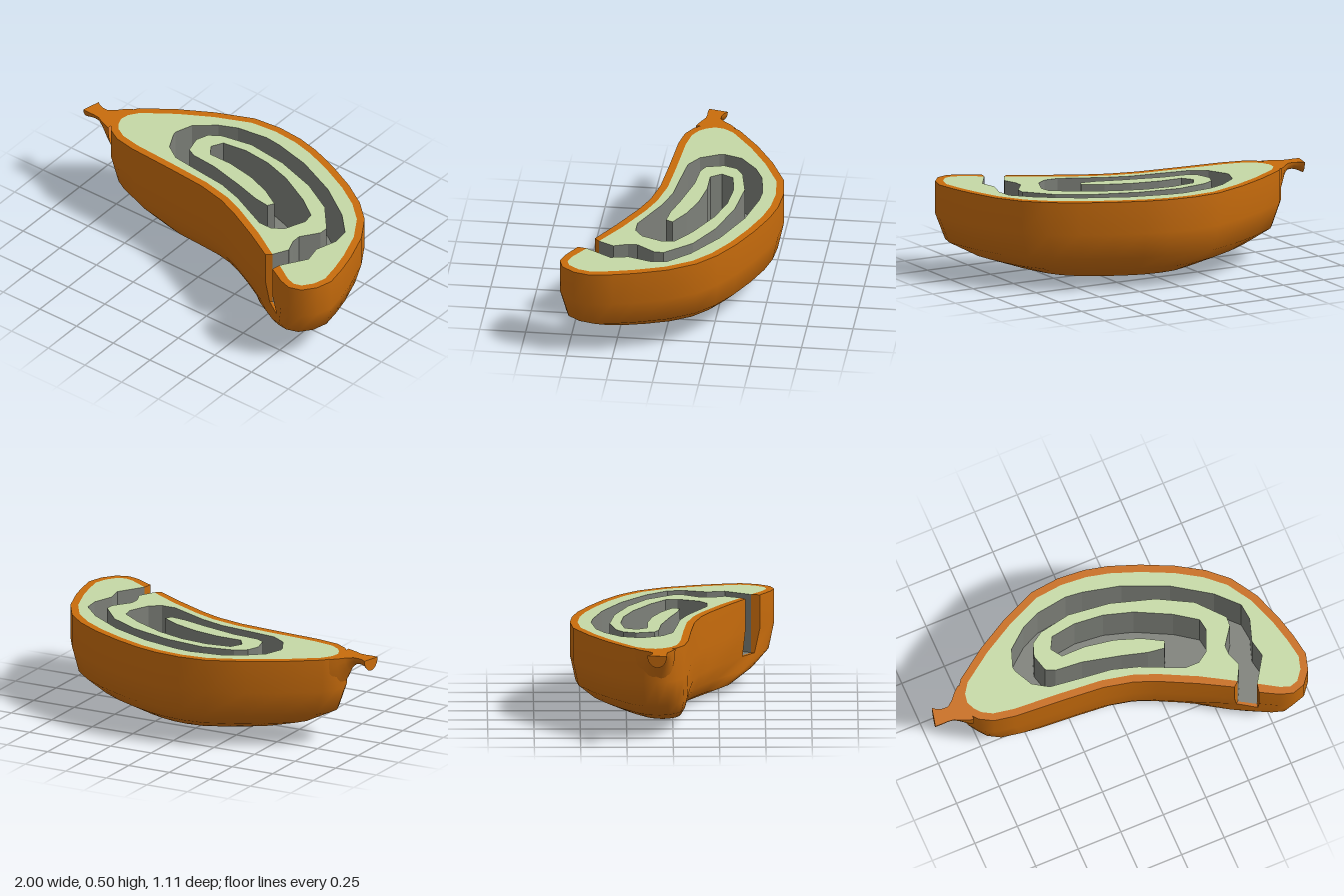
import * as THREE from 'three';

const TOP = 0.5, FLOOR = 0.18;
const material = (color, side = THREE.FrontSide) => new THREE.MeshStandardMaterial({ color, side });
const skin = material(0xc86c0c), skinThin = material(0xc86c0c, THREE.DoubleSide);
const flesh = material(0xc5d9a6), channelGrey = material(0x7d8079, THREE.DoubleSide);

// Slot cut through the skin at the channel outlet: [x, z]
const slotIn = [[0.6, 0.37], [0.69, 0.425]];
const slotOut = [[0.57, 0.395], [0.68, 0.475]];

// Rim outline from the slot's left edge, round the fruit, to its right edge
const outer = [
  slotOut[0], [0.4, 0.3], [0.2, 0.2], [0.08, 0.153], [-0.08, 0.118], [-0.3, 0.1], [-0.58, 0.082],
  [-0.7, 0.06], [-0.77, 0.02], [-0.81, -0.03], [-0.832, -0.09], [-0.82, -0.16], [-0.77, -0.23],
  [-0.6, -0.35], [-0.42, -0.452], [-0.22, -0.538], [-0.06, -0.555], [0.09, -0.543], [0.22, -0.512],
  [0.38, -0.452], [0.55, -0.372], [0.69, -0.285], [0.8, -0.185], [0.89, -0.04], [0.95, 0.13],
  [0.98, 0.25], [1, 0.37], [0.975, 0.46], [0.92, 0.53], [0.85, 0.552], [0.78, 0.53], slotOut[1],
];

// Spiral channel outline, from the outlet's right edge round to its left edge
const channel = [
  slotIn[1], [0.78, 0.285], [0.76, 0.19], [0.8, 0.067], [0.79, -0.025], [0.68, -0.14], [0.48, -0.275],
  [0.24, -0.38], [0.03, -0.43], [-0.065, -0.44], [-0.24, -0.415], [-0.34, -0.37], [-0.45, -0.28],
  [-0.485, -0.18], [-0.48, -0.155], [-0.43, -0.055], [-0.345, 0], [-0.18, 0.02], [0, 0.04], [0.14, 0.083],
  [0.37, 0.188], [0.45, 0.188], [0.51, 0.147], [0.56, 0.03], [0.55, -0.035], [0.43, -0.12], [0.24, -0.216],
  [0.08, -0.265], [-0.08, -0.28], [-0.22, -0.26], [-0.255, -0.195], [-0.215, -0.137], [-0.08, -0.137],
  [0.08, -0.11], [0.22, -0.06], [0.33, 0.003], [0.31, 0.04], [0.22, 0.028], [0.08, -0.012], [-0.13, -0.062],
  [-0.28, -0.075], [-0.33, -0.1], [-0.355, -0.195], [-0.33, -0.265], [-0.265, -0.307], [-0.09, -0.34],
  [0.14, -0.313], [0.38, -0.238], [0.565, -0.137], [0.69, 0.008], [0.687, 0.06], [0.617, 0.157],
  [0.617, 0.21], [0.645, 0.285], slotIn[0],
];

// Inner edge of the skin: the outline moved inward by the skin thickness
const inner = outer.map(([x, z], i) => {
  if (i === 0) return slotIn[0];
  if (i === outer.length - 1) return slotIn[1];
  const a = outer[i - 1], b = outer[i + 1];
  const dx = b[0] - a[0], dz = b[1] - a[1], l = Math.hypot(dx, dz);
  return [x - dz / l * 0.042, z + dx / l * 0.042];
});

// Flat horizontal face filling an [x, z] outline
function flat(points, y) {
  const shape = new THREE.Shape(points.map(([x, z]) => new THREE.Vector2(x, -z)));
  return new THREE.ShapeGeometry(shape).rotateX(-Math.PI / 2).translate(0, y, 0);
}

// Surface through rows of [x, y, z]; keep(row, column) may leave quads out
function loft(rows, keep = () => true) {
  const n = rows[0].length, index = [];
  for (let r = 0; r < rows.length - 1; r++) {
    for (let i = 0; i < n; i++) {
      if (!keep(r, i)) continue;
      const j = (i + 1) % n, a = r * n + i, b = r * n + j;
      index.push(a, b, b + n, a, b + n, a + n);
    }
  }
  const g = new THREE.BufferGeometry();
  g.setAttribute('position', new THREE.Float32BufferAttribute(rows.flat(2), 3));
  g.setIndex(index);
  g.computeVertexNormals();
  return g;
}

export function createModel() {
  const model = new THREE.Group();
  const add = (name, geometry, mat) => {
    const mesh = new THREE.Mesh(geometry, mat);
    mesh.name = name;
    model.add(mesh);
  };

  // Skin: scaled copies of the rim, closing to a point underneath
  const last = outer.length - 1;
  const levels = [[TOP, 1], [0.32, 1], [FLOOR, 0.945], [0.1, 0.78], [0.04, 0.57], [0, 0.001]];
  const slotFoot = slotOut.map(([x, z], k) => [
    x + (slotIn[k][0] - x) * 0.6, z + (slotIn[k][1] - z) * 0.6]);
  const rings = levels.map(([y, s]) => outer.map(([x, z], i) => {
    if (y === FLOOR && i === 0) return [slotFoot[0][0], y, slotFoot[0][1]];
    if (y === FLOOR && i === last) return [slotFoot[1][0], y, slotFoot[1][1]];
    return [0.12 + (x - 0.12) * s, y, z * s];
  }));
  add('outerSkin', loft(rings, (r, i) => r >= 2 || i !== last), skin);
  add('skinRim', flat([...outer, ...inner.slice().reverse()], TOP), skin);

  // Slot sides and floor
  slotOut.forEach((o, k) => {
    const [ix, iz] = slotIn[k], [fx, fz] = slotFoot[k];
    const rows = [
      [[o[0], TOP, o[1]], [ix, TOP, iz]],
      [[o[0], 0.32, o[1]], [ix, 0.32, iz]],
      [[fx, FLOOR, fz], [ix, FLOOR, iz]],
    ];
    add(k ? 'slotRightSide' : 'slotLeftSide', loft(rows, (r, i) => i === 0), skinThin);
  });
  add('slotFloor', flat([slotIn[0], slotIn[1], slotFoot[1], slotFoot[0]], FLOOR), skinThin);

  // Flesh face with the spiral channel sunk into it
  add('fleshFace', flat([...inner, ...channel.slice(1, -1)], TOP), flesh);
  const wall = [TOP, FLOOR].map(y => channel.map(([x, z]) => [x, y, z]));
  add('channelWall', loft(wall, (r, i) => i < channel.length - 1).toNonIndexed(), channelGrey);
  model.children.at(-1).geometry.computeVertexNormals();
  add('channelFloor', flat(channel, FLOOR), channelGrey);

  // Half-round stem: [x, z back, z front, depth]
  const stations = [
    [-0.99, -0.14, -0.035, 0.065], [-0.96, -0.125, -0.033, 0.05], [-0.93, -0.113, -0.034, 0.042],
    [-0.895, -0.112, -0.03, 0.045], [-0.86, -0.14, -0.012, 0.08], [-0.83, -0.175, 0, 0.15],
    [-0.795, -0.205, 0.012, 0.21],
  ];
  const sections = stations.map(([x, z0, z1, d], s) => Array.from({ length: 13 }, (_, k) => {
    const a = k / 12 * Math.PI, c = Math.cos(a);
    return [x - (s === 0 ? c * 0.012 : 0), TOP - d * Math.sin(a), (z0 + z1) / 2 + (z1 - z0) / 2 * c];
  }));
  add('stem', loft(sections, (r, i) => i < 12), skinThin);
  const centre = sections[0].map(() => [-0.99, TOP, -0.0875]);
  add('stemEnd', loft([centre, sections[0]], (r, i) => i < 12), skinThin);
  const edge = k => sections.map(s => [s[k][0], s[k][2]]);
  add('stemTop', flat([...edge(0), ...edge(12).reverse()], TOP), skin);

  return model;
}
